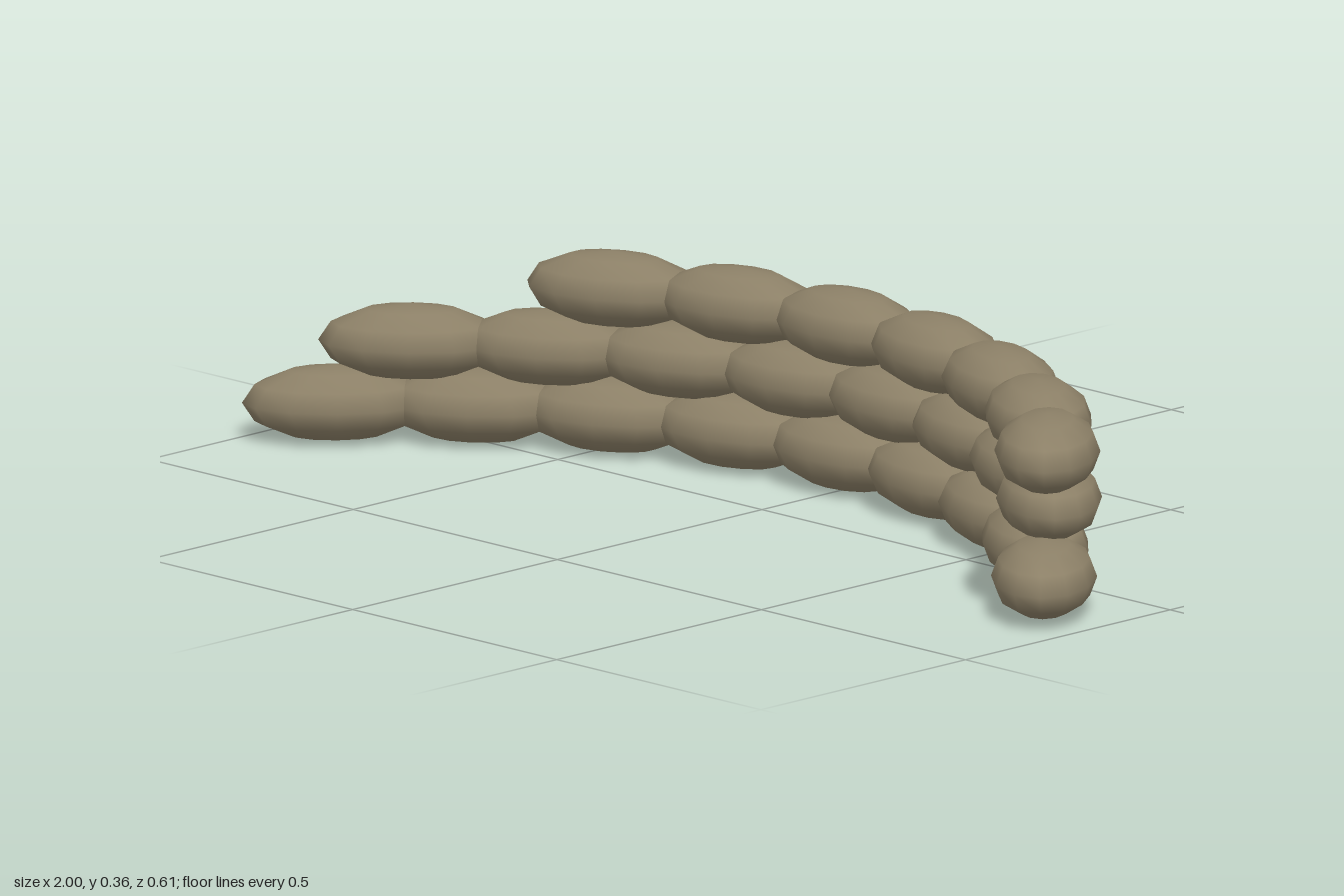
import * as THREE from 'three';

export function createModel() {
  const model = new THREE.Group();
  model.name = 'sandbagWall';

  const burlap = new THREE.MeshStandardMaterial({ color: 0x8c8067 });
  burlap.name = 'burlap';

  // One plump bag, lying along x
  const bag = new THREE.SphereGeometry(1, 12, 6).scale(0.162, 0.066, 0.092);

  // Bags sit on an arc that bulges towards the back
  const radius = 1.183;
  const step = THREE.MathUtils.degToRad(11.8);
  const backZ = -0.21;

  // Three courses; first and last are positions along the arc in bag steps
  const courses = [
    { name: 'bottomCourse', y: 0.067, first: -4, last: 4, shift: -0.007 },
    { name: 'middleCourse', y: 0.179, first: -3.5, last: 3.5, shift: 0.007 },
    { name: 'topCourse', y: 0.292, first: -2, last: 4, shift: 0.001 },
  ];

  for (const { name, y, first, last, shift } of courses) {
    const course = new THREE.Group();
    course.name = name;
    for (let i = first; i <= last; i++) {
      const angle = i * step;
      const mesh = new THREE.Mesh(bag, burlap);
      mesh.name = 'sandbag';
      mesh.position.set(
        radius * Math.sin(angle) + shift,
        y,
        backZ + radius * (1 - Math.cos(angle))
      );
      mesh.rotation.y = -angle;
      course.add(mesh);
    }
    model.add(course);
  }
  return model;
}
